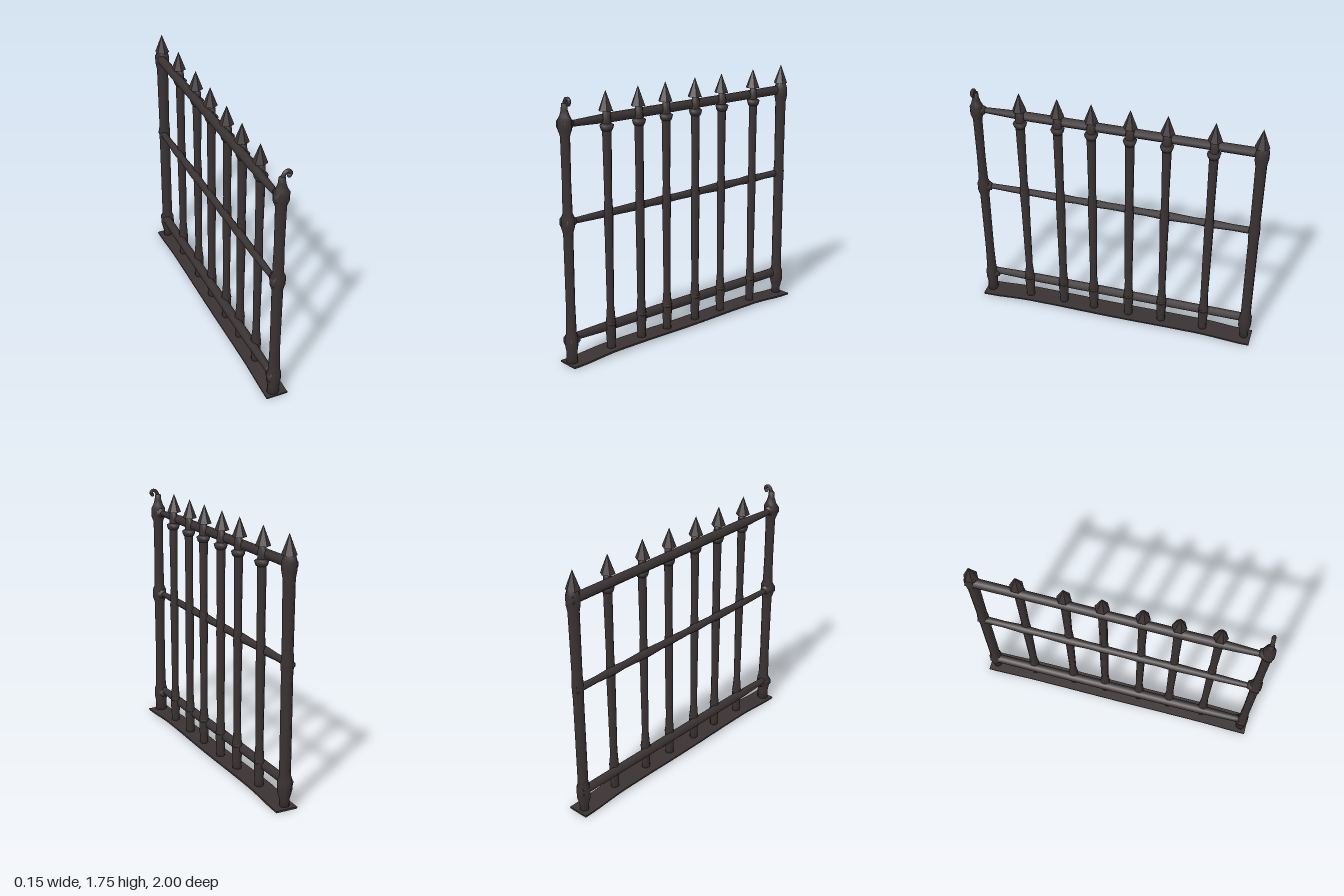
import * as THREE from 'three';

export function createModel() {
  const model = new THREE.Group();
  model.name = 'ironFence';
  const iron = new THREE.MeshStandardMaterial({ color: 0x3a3233 });
  iron.name = 'darkIron';
  const ironSheet = iron;

  const add = (parent, name, geometry, x = 0, y = 0, z = 0) => {
    const mesh = new THREE.Mesh(geometry, ironSheet);
    mesh.name = name;
    mesh.position.set(x, y, z);
    parent.add(mesh);
    return mesh;
  };
  // Turned piece from [radius, height] pairs, stretched in x
  const turned = (pairs, sides = 8, xScale = 1) => {
    const g = new THREE.LatheGeometry(pairs.map(([r, h]) => new THREE.Vector2(r, h)), sides, Math.PI / sides);
    return g.scale(xScale, 1, 1);
  };
  const spike = (parent, x, z) => {
    const cone = new THREE.ConeGeometry(0.049, 0.13, 6).toNonIndexed();
    cone.computeVertexNormals();
    add(parent, 'spearTip', cone, x, 1.685, z);
  };

  // Inner bars with flared feet, small collars and spear tips
  const barZ = [0.65, 0.39, 0.16, -0.1, -0.345, -0.65];
  barZ.forEach((z, i) => {
    const bar = new THREE.Group();
    bar.name = 'bar' + (i + 1);
    const w = i % 2 ? 0.002 : 0;
    add(bar, 'shaft', turned([
      [0, 0.015], [0.031, 0.015], [0.03, 0.06], [0.036, 0.16], [0.033, 0.22],
      [0.025 + w, 0.32], [0.029 + w, 0.8], [0.032, 0.93], [0.03, 0.98],
      [0.026 + w, 1.06], [0.031, 1.48], [0.03, 1.56], [0.025, 1.63], [0, 1.63],
    ], 8, 0.95), 0.003, 0, z);
    add(bar, 'upperCollar', turned([
      [0, 1.495], [0.035, 1.495], [0.042, 1.51], [0.047, 1.53], [0.03, 1.54], [0, 1.54],
    ]), 0.004, 0, z);
    add(bar, 'lowerCollar', turned([
      [0, 0.185], [0.033, 0.19], [0.036, 0.205], [0.028, 0.215], [0, 0.215],
    ]), 0.003, 0, z);
    spike(bar, -0.004, z);
    model.add(bar);
  });

  // Rear end post
  const rearPost = new THREE.Group();
  rearPost.name = 'rearPost';
  add(rearPost, 'shaft', turned([
    [0, 0.005], [0.03, 0.005], [0.032, 0.06], [0.047, 0.12], [0.047, 0.185], [0.036, 0.22],
    [0.036, 0.88], [0.039, 0.93], [0.039, 0.97], [0.035, 1.03], [0.038, 1.48],
    [0.047, 1.53], [0.047, 1.58], [0.036, 1.62], [0.028, 1.63], [0, 1.63],
  ], 8, 1.05), -0.013, 0, -0.95);
  spike(rearPost, -0.013, -0.945);
  model.add(rearPost);

  // Front end post with swollen joints and a curled finial
  const frontPost = new THREE.Group();
  frontPost.name = 'frontPost';
  add(frontPost, 'shaft', turned([
    [0, 0.005], [0.036, 0.005], [0.034, 0.08], [0.041, 0.12], [0.041, 0.185], [0.033, 0.21],
    [0.029, 0.4], [0.031, 0.88], [0.042, 0.92], [0.042, 0.98], [0.031, 1.01],
    [0.028, 1.2], [0.03, 1.5], [0.043, 1.54], [0.043, 1.6], [0.031, 1.625],
    [0.021, 1.66], [0.018, 1.7], [0, 1.705],
  ], 8, 1.2), -0.013, 0, 0.957);
  const curl = new THREE.CatmullRomCurve3([
    [-0.013, 1.66], [-0.008, 1.705], [0.012, 1.732], [0.034, 1.73], [0.041, 1.712], [0.03, 1.7],
  ].map(([x, y]) => new THREE.Vector3(x, y, 0.957)));
  add(frontPost, 'curledFinial', new THREE.TubeGeometry(curl, 14, 0.013, 6));
  add(frontPost, 'finialEnd', new THREE.SphereGeometry(0.014, 6, 5), 0.031, 1.701, 0.957);
  // Cone fairings where the rails meet the post
  [0.155, 0.95, 1.57].forEach((y) => {
    const fairing = turned([[0, -0.05], [0.047, -0.05], [0.045, -0.01], [0.026, 0.035], [0, 0.035]]);
    fairing.rotateX(-Math.PI / 2);
    add(frontPost, 'railSocket', fairing, -0.02, y, 0.935);
  });
  model.add(frontPost);

  // Rails run behind the bars; radii swell and shrink along the length
  const rail = (name, y, pairs) => {
    const g = turned([[0, pairs[0][1]], ...pairs, [0, pairs[pairs.length - 1][1]]]);
    g.rotateX(Math.PI / 2);
    add(model, name, g, -0.027, y, 0);
  };
  rail('topRail', 1.567, [[0.033, -0.98], [0.031, -0.5], [0.032, 0.1], [0.032, 0.6], [0.02, 0.9], [0.02, 0.96]]);
  rail('middleRail', 0.948, [
    [0.026, -0.98], [0.023, -0.8], [0.03, -0.65], [0.024, -0.55], [0.031, -0.345], [0.025, -0.2],
    [0.027, -0.1], [0.024, 0.05], [0.029, 0.16], [0.024, 0.28], [0.029, 0.39],
    [0.025, 0.55], [0.025, 0.65], [0.019, 0.9], [0.019, 0.96],
  ]);
  rail('bottomRail', 0.172, [[0.032, -0.98], [0.033, -0.3], [0.034, 0.1], [0.033, 0.6], [0.025, 0.9], [0.025, 0.96]]);

  // Thin ground strip, gently bowed upward between its ends
  const strip = new THREE.BoxGeometry(0.15, 0.012, 2, 2, 1, 32);
  const p = strip.attributes.position;
  for (let i = 0; i < p.count; i++) {
    const z = Math.abs(p.getZ(i));
    const rise = THREE.MathUtils.smoothstep(1 - z, 0.02, 0.38) * 0.02;
    p.setY(i, p.getY(i) + 0.006 + rise - 0.004 * Math.max(0, Math.cos(z * 4)) * (rise > 0 ? 1 : 0));
  }
  strip.computeVertexNormals();
  add(model, 'baseStrip', strip, -0.003, 0, 0);

  return model;
}
